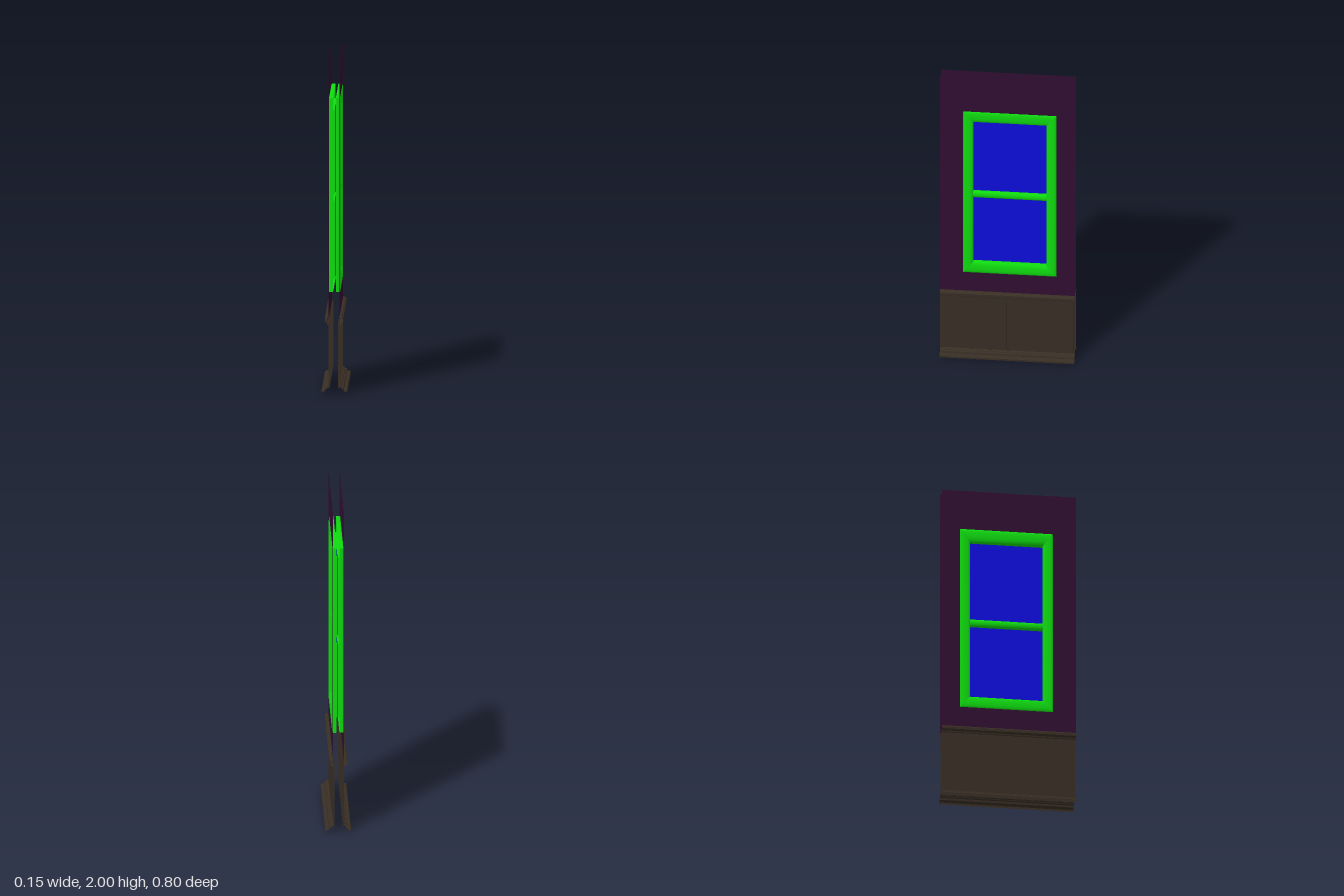
import * as THREE from 'three';

const mat = (name, color) => new THREE.MeshStandardMaterial({ name, color, side: THREE.DoubleSide });

// Surface through cross-sections (arrays of [x, y, z]); flip reverses the facing side.
function loft(sections, flip, flat) {
  const n = sections[0].length;
  const index = [];
  for (let i = 0; i < sections.length - 1; i++) {
    for (let j = 0; j < n - 1; j++) {
      const a = i * n + j, b = a + 1, d = a + n, c = d + 1;
      index.push(...(flip ? [a, c, b, a, d, c] : [a, b, c, a, c, d]));
    }
  }
  let geo = new THREE.BufferGeometry();
  geo.setAttribute('position', new THREE.Float32BufferAttribute(sections.flat(2), 3));
  geo.setIndex(index);
  if (flat) geo = geo.toNonIndexed();
  geo.computeVertexNormals();
  return geo;
}

export function createModel() {
  const model = new THREE.Group();
  model.name = 'wallPanelWithWindow';
  const purple = mat('purple wall', 0x300e30);
  const brown = mat('brown wood', 0x382e24);
  const green = mat('green frame', 0x0fdc0f);
  const blue = mat('blue glass', 0x0d0ddc);

  // Rectangles as [zMax, zMin, yMax, yMin]
  const wallRect = [0.4, -0.4, 2, 0.44];
  const frameOuter = [0.263, -0.29, 1.753, 0.592];
  const frameInner = [0.205, -0.23, 1.675, 0.665];
  const panes = [[0.205, -0.23, 1.675, 1.17], [0.205, -0.23, 1.13, 0.665]];

  // Each side: wall plane, frame front, frame back and glass, as signed x
  const sides = [
    { name: 'left', s: 1, wall: 0.031, front: 0.035, back: 0.006, glass: 0.003 },
    { name: 'right', s: -1, wall: -0.034, front: -0.038, back: -0.01, glass: -0.001 },
  ];

  for (const { name, s, wall, front, back, glass } of sides) {
    const group = new THREE.Group();
    group.name = name + 'Side';
    model.add(group);
    const flip = s < 0;

    const add = (part, geo, material) => {
      const mesh = new THREE.Mesh(geo, material);
      mesh.name = part;
      group.add(mesh);
    };
    // Profile of [x, y] points, listed top to bottom, swept along z
    const sweep = (part, profile, z0, z1, material, flat = true) =>
      add(part, loft([z0, z1].map(z => profile.map(([x, y]) => [x, y, z])), flip, flat), material);
    // Mitred ring between two rectangles; profile points are [blend, x]
    const ring = (part, outer, inner, profile, material, flat = true) => {
      const corners = [[0, 2], [1, 2], [1, 3], [0, 3]].map(([zi, yi]) => profile.map(([t, x]) => [
        x, THREE.MathUtils.lerp(outer[yi], inner[yi], t), THREE.MathUtils.lerp(outer[zi], inner[zi], t)]));
      for (let k = 0; k < 4; k++) {
        add(part, loft([corners[k], corners[(k + 1) % 4]], flip, flat), material);
      }
    };

    // Upper wall with its window opening
    ring('upperWall', wallRect, frameOuter, [[0, wall], [1, wall]], purple);

    // Window frame with softened outer and inner edges
    ring('windowFrame', frameOuter, frameInner, [
      [0, back], [0, front - s * 0.006], [0.12, front - s * 0.002], [0.35, front],
      [0.7, front - s * 0.001], [0.93, front - s * 0.006], [1, front - s * 0.012], [1, back],
    ], green, false);

    // Crossbar between the panes
    sweep('crossbar', [
      [back, 1.17], [front - s * 0.014, 1.17], [front - s * 0.009, 1.162],
      [front - s * 0.007, 1.15], [front - s * 0.009, 1.138], [front - s * 0.014, 1.13], [back, 1.13],
    ], 0.205, -0.23, green, false);

    // Panes set back in short reveals
    for (const pane of panes) {
      ring('paneReveal', pane, pane, [[0, back], [1, glass]], green);
      sweep('glassPane', [[glass, pane[2]], [glass, pane[3]]], pane[0], pane[1], blue);
    }

    // Wainscot boards parted by recessed grooves
    const line = [[wall - s * 0.008, 0.4], [wall - s * 0.008, 0.393], [wall, 0.393]];
    for (let i = 3; i >= -3; i--) {
      const z = i * 0.1033;
      line.push([wall, z + 0.008], [wall - s * 0.008, z + 0.008],
        [wall - s * 0.008, z - 0.008], [wall, z - 0.008]);
    }
    line.push([wall, -0.393], [wall - s * 0.008, -0.393], [wall - s * 0.008, -0.4]);
    add('wainscot', loft([0.04, 0.44].map(y => line.map(([x, z]) => [x, y, z])), flip, true), brown);

    // Chair rail
    sweep('chairRail', [
      [wall, 0.461], [wall + s * 0.012, 0.46], [wall + s * 0.022, 0.452], [wall + s * 0.022, 0.436],
      [wall + s * 0.01, 0.428], [wall + s * 0.008, 0.42], [wall, 0.42],
    ], 0.4, -0.4, brown);

    // Stepped baseboard
    sweep('baseboard', [
      [wall, 0.044], [s * 0.042, 0.04], [s * 0.044, 0.034], [s * 0.054, 0.032],
      [s * 0.056, 0.02], [s * 0.072, 0.018], [s * 0.077, 0.012], [s * 0.077, 0],
    ], 0.4, -0.4, brown);
  }
  return model;
}
